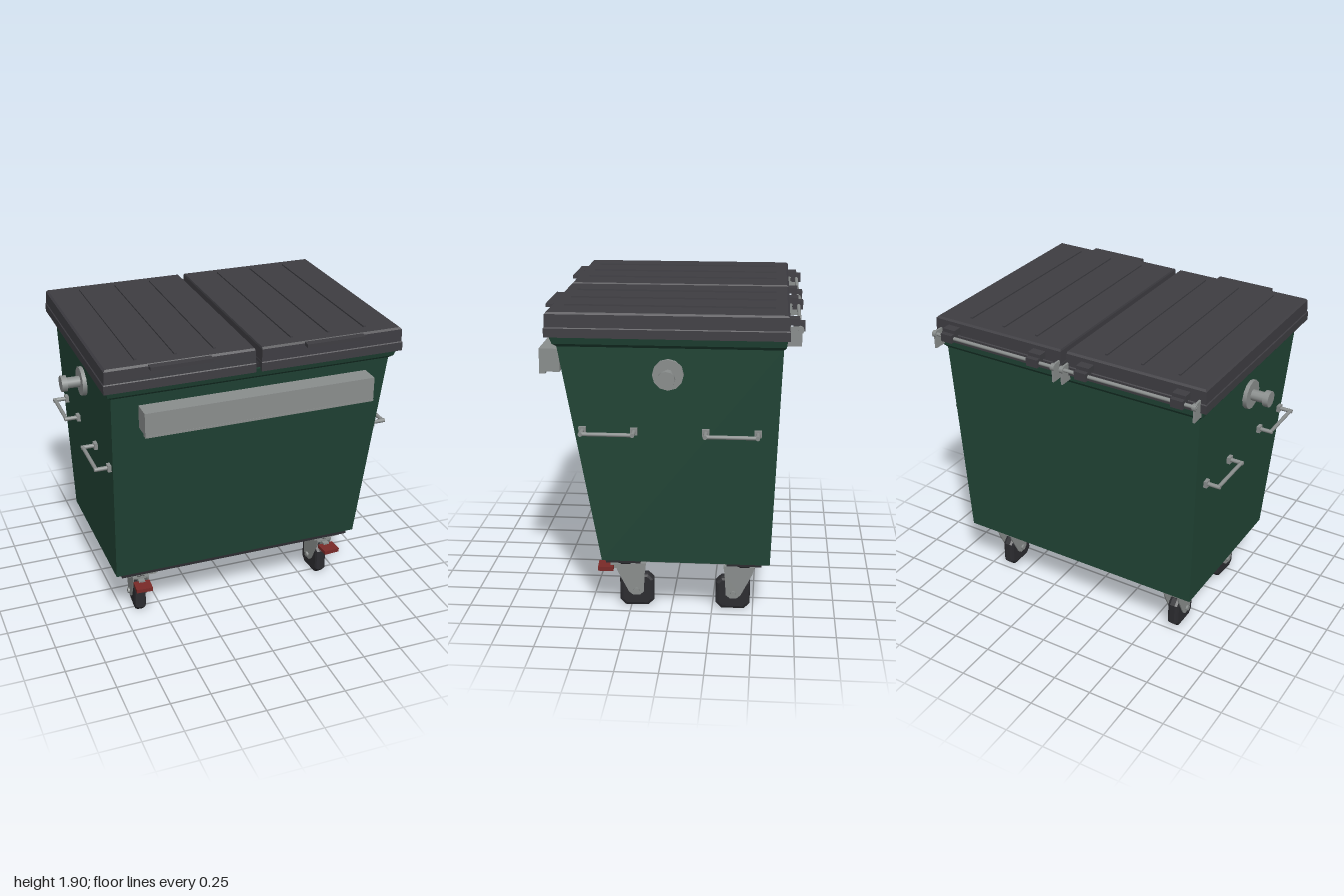
import * as THREE from 'three';

const mat = (name, color) => {
  const m = new THREE.MeshStandardMaterial({ color });
  m.name = name;
  return m;
};

export function createModel() {
  const green = mat('bin green', 0x214536);
  const lidGrey = mat('lid charcoal', 0x3e3d42);
  const black = mat('rubber black', 0x2c2c30);
  const steel = mat('galvanised steel', 0x8a8e8d);
  const red = mat('brake red', 0x7a2a28);

  const root = new THREE.Group();
  root.name = 'wheeledContainer';

  const add = (parent, name, geo, material, x = 0, y = 0, z = 0) => {
    const m = new THREE.Mesh(geo, material);
    m.name = name;
    m.position.set(x, y, z);
    parent.add(m);
    return m;
  };
  // Box given by its min and max on each axis
  const box = (parent, name, material, x0, x1, y0, y1, z0, z1) =>
    add(parent, name, new THREE.BoxGeometry(x1 - x0, y1 - y0, z1 - z0), material,
      (x0 + x1) / 2, (y0 + y1) / 2, (z0 + z1) / 2);
  // Cylinder lying along x
  const rodX = (parent, name, material, r, x0, x1, y, z, sides = 12) =>
    add(parent, name, new THREE.CylinderGeometry(r, r, Math.abs(x1 - x0), sides).rotateZ(Math.PI / 2),
      material, (x0 + x1) / 2, y, z);
  // Faceted solid through rectangles [y, x0, x1, z0, z1], bottom to top
  const loft = (sections) => {
    const rings = sections.map(([y, x0, x1, z0, z1]) =>
      [[x0, y, z1], [x1, y, z1], [x1, y, z0], [x0, y, z0]]);
    const pos = [];
    const quad = (a, b, c, d) => pos.push(...a, ...b, ...c, ...a, ...c, ...d);
    for (let r = 0; r < rings.length - 1; r++) {
      for (let i = 0; i < 4; i++) {
        const j = (i + 1) % 4;
        quad(rings[r][i], rings[r][j], rings[r + 1][j], rings[r + 1][i]);
      }
    }
    const b = rings[0], t = rings[rings.length - 1];
    quad(t[0], t[1], t[2], t[3]);
    quad(b[3], b[2], b[1], b[0]);
    const g = new THREE.BufferGeometry();
    g.setAttribute('position', new THREE.Float32BufferAttribute(pos, 3));
    g.computeVertexNormals();
    return g;
  };
  // Side profile of [z, y] points, extruded along x and centred
  const plateX = (points, depth, bevel = 0) => {
    const g = new THREE.ExtrudeGeometry(new THREE.Shape(points.map(([u, v]) => new THREE.Vector2(u, v))), {
      depth, bevelEnabled: bevel > 0, bevelThickness: bevel, bevelSize: bevel, bevelSegments: 2,
    });
    return g.translate(0, 0, -depth / 2).rotateY(-Math.PI / 2);
  };

  // Tapered body with flared rim
  add(root, 'body', loft([
    [0.363, -0.815, 0.815, -0.6, 0.408],
    [1.695, -0.863, 0.863, -0.65, 0.635],
  ]), green);
  add(root, 'rim', loft([
    [1.69, -0.862, 0.862, -0.65, 0.633],
    [1.71, -0.885, 0.885, -0.665, 0.657],
    [1.765, -0.9, 0.9, -0.672, 0.675],
  ]), green);
  box(root, 'lidGasket', black, -0.03, 0.03, 1.76, 1.79, -0.66, 0.66);

  // Two lids with ribs and front grips
  for (const s of [-1, 1]) {
    const lid = new THREE.Group();
    lid.name = s > 0 ? 'leftLid' : 'rightLid';
    root.add(lid);
    const ring = (y, inset) => {
      const a = s * (0.018 + inset * 0.3), b = s * (0.917 - inset);
      return [y, Math.min(a, b), Math.max(a, b), -0.685 + inset, 0.698 - inset];
    };
    add(lid, 'lidPanel', loft([ring(1.753, 0), ring(1.805, 0), ring(1.81, 0.005), ring(1.885, 0.007), ring(1.896, 0.018)]), lidGrey);
    for (const x of [0.237, 0.47, 0.705])
      box(lid, 'lidRib', lidGrey, s * x - 0.008, s * x + 0.008, 1.89, 1.905, -0.6, 0.61);
    box(lid, 'lidGrip', lidGrey, s * 0.47 - 0.185, s * 0.47 + 0.185, 1.872, 1.892, 0.66, 0.73);

    // Hinge rod, lid knuckles and end brackets
    rodX(lid, 'hingeRod', steel, 0.011, s * 0.03, s * 0.89, 1.812, -0.737);
    for (const x of [0.163, 0.775]) {
      box(lid, 'hingeArm', lidGrey, s * x - 0.042, s * x + 0.042, 1.825, 1.862, -0.735, -0.675);
      box(lid, 'hingeKnuckle', lidGrey, s * x - 0.038, s * x + 0.038, 1.79, 1.84, -0.765, -0.7);
    }
    for (const x of [0.03, 0.875]) {
      box(root, 'hingeBracket', steel, s * x - 0.006, s * x + 0.006, 1.72, 1.83, -0.748, -0.66);
      rodX(root, 'hingeNut', steel, 0.022, s * x - 0.012, s * x + 0.012, 1.812, -0.737, 8);
    }

    // Lifting trunnion
    rodX(root, 'trunnionFlange', steel, 0.09, s * 0.845, s * 0.884, 1.54, 0);
    rodX(root, 'trunnionShaft', steel, 0.034, s * 0.87, s * 0.97, 1.54, 0);
    rodX(root, 'trunnionCap', steel, 0.05, s * 0.965, s * 1.0, 1.54, 0);

    // Side handles
    for (const zc of [0.35, -0.365]) {
      const handle = new THREE.Group();
      handle.name = 'sideHandle';
      handle.position.set(0, 1.195, zc);
      root.add(handle);
      add(handle, 'handleBar', new THREE.CylinderGeometry(0.012, 0.012, 0.3, 10).rotateX(Math.PI / 2), steel, s * 0.932);
      for (const e of [-0.15, 0.15]) {
        rodX(handle, 'handleLeg', steel, 0.013, s * 0.84, s * 0.944, 0, e, 10);
        box(handle, 'handleFoot', steel, s * 0.855 - 0.012, s * 0.855 + 0.012, -0.021, 0.021, e - 0.021, e + 0.021);
      }
    }
  }

  // Front lifting bar, held off the wall by small spacers
  box(root, 'frontBar', steel, -0.708, 0.706, 1.5, 1.638, 0.65, 0.77);
  box(root, 'frontBarLip', steel, -0.708, 0.706, 1.487, 1.5, 0.735, 0.772);
  for (const x of [-0.5, 0, 0.5])
    box(root, 'frontBarSpacer', steel, x - 0.03, x + 0.03, 1.58, 1.61, 0.59, 0.655);

  // Base rails
  for (const z of [0.285, -0.445])
    box(root, 'baseRail', black, -0.775, 0.775, 0.332, 0.366, z - 0.105, z + 0.105);

  // Swivel caster: the wheel trails towards local +z
  const caster = (x, z, yaw, braked) => {
    const g = new THREE.Group();
    g.name = braked ? 'frontCaster' : 'rearCaster';
    g.position.set(x, 0, z);
    g.rotation.y = yaw;
    root.add(g);
    box(g, 'mountPlate', steel, -0.095, 0.095, 0.318, 0.334, -0.095, 0.095);
    add(g, 'swivelBearing', new THREE.CylinderGeometry(0.075, 0.06, 0.032, 16), black, 0, 0.304, 0);
    box(g, 'forkCrown', steel, -0.052, 0.052, 0.275, 0.29, -0.065, 0.125);
    const side = [[-0.065, 0.29], [-0.05, 0.24], [0.02, 0.1], [0.045, 0.08],
      [0.085, 0.08], [0.11, 0.1], [0.118, 0.24], [0.125, 0.29]];
    for (const s of [-1, 1])
      add(g, 'forkSide', plateX(side, 0.008), steel, s * 0.048);
    const h = 0.085, c = 0.062;
    add(g, 'wheel', plateX([[-c, -h], [c, -h], [h, -c], [h, c], [c, h], [-c, h], [-h, c], [-h, -c]], 0.032, 0.021),
      black, 0, 0.106, 0.069);
    rodX(g, 'axle', steel, 0.018, -0.065, 0.065, 0.112, 0.065, 8);
    if (braked) {
      box(g, 'brakeStem', steel, -0.02, 0.02, 0.245, 0.275, -0.095, -0.04);
      box(g, 'brakePedal', red, -0.052, 0.052, 0.24, 0.265, -0.17, -0.075);
    }
  };
  for (const s of [-1, 1]) {
    caster(s * 0.637, 0.285, Math.PI + s * 0.07, true);
    caster(s * 0.637, -0.445, 0, false);
  }

  return root;
}
